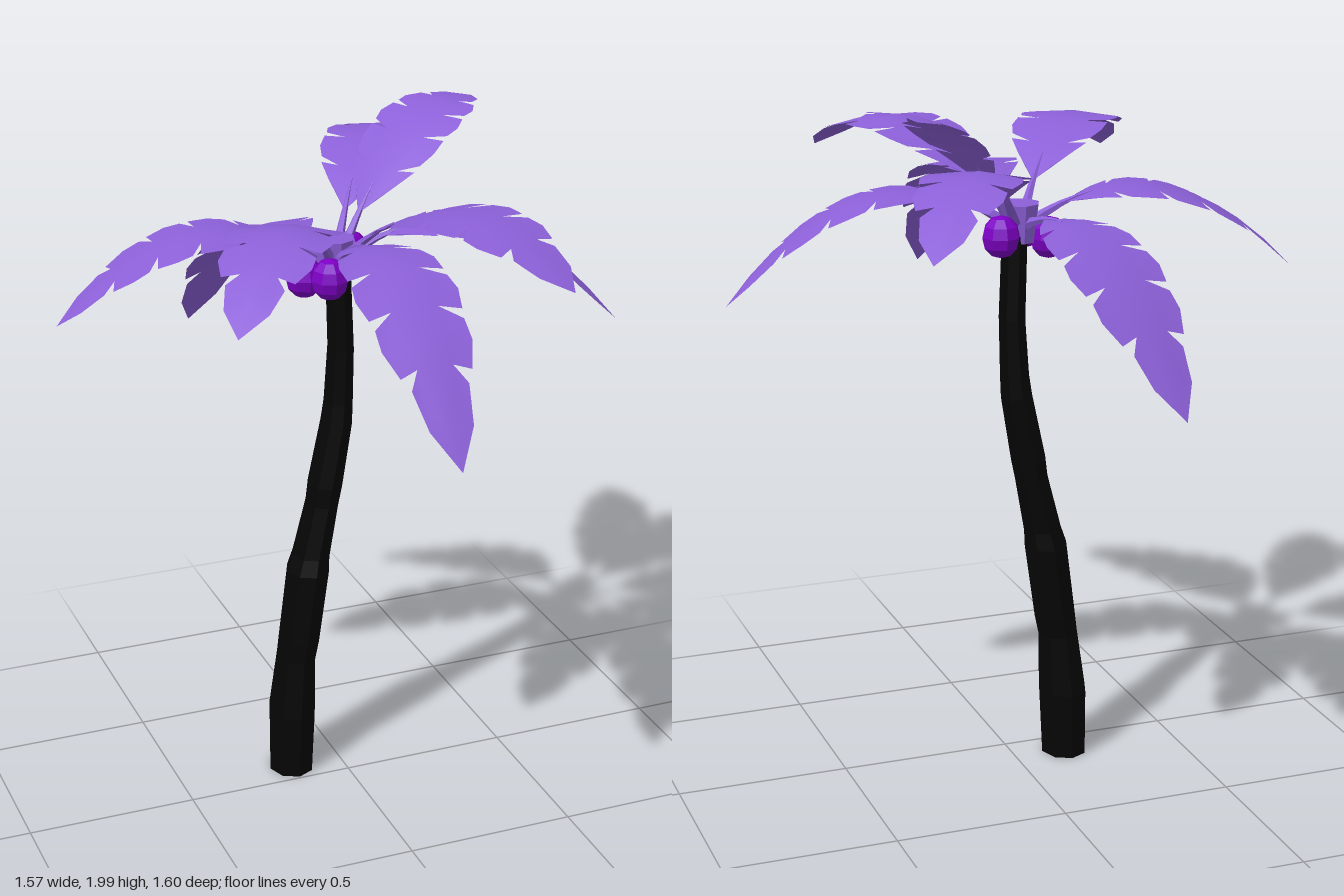
import * as THREE from 'three';
import { mergeVertices } from 'three/addons/utils/BufferGeometryUtils.js';

const leafMat = new THREE.MeshStandardMaterial({ color: 0x8c60d8, side: THREE.DoubleSide });
const stemMat = new THREE.MeshStandardMaterial({ color: 0x8c60d8, flatShading: true });
const barkMat = new THREE.MeshStandardMaterial({ color: 0x050505, flatShading: true });
const nutMat = new THREE.MeshStandardMaterial({ color: 0x7d00c4, flatShading: true });

const CROWN = new THREE.Vector3(-0.01, 1.62, -0.085);

function mesh(name, geometry, material, parent) {
  const m = new THREE.Mesh(geometry, material);
  m.name = name;
  parent.add(m);
  return m;
}

// Leaning eight-sided trunk with alternating swollen and pinched rings: [x, y, radius]
function trunkGeometry() {
  const rings = [
    [-0.155, 0, 0.078], [-0.15, 0.2, 0.084], [-0.135, 0.38, 0.070], [-0.125, 0.44, 0.073],
    [-0.095, 0.66, 0.075], [-0.085, 0.71, 0.066], [-0.05, 0.87, 0.058], [-0.04, 0.93, 0.061],
    [-0.004, 1.12, 0.055], [0.002, 1.18, 0.051], [0.01, 1.35, 0.046], [0.002, 1.6, 0.044],
  ];
  const geo = new THREE.CylinderGeometry(1, 1, 1, 8, rings.length - 1);
  const p = geo.attributes.position;
  for (let i = 0; i < p.count; i++) {
    const [x, y, r] = rings[Math.round((p.getY(i) + 0.5) * (rings.length - 1))];
    p.setXYZ(i, x + p.getX(i) * r * 0.86, y, CROWN.z + p.getZ(i) * r);
  }
  geo.computeVertexNormals();
  return geo;
}

// Blade stations along the frond: [position on the curve, half width]
const STATIONS = [[0.14, 0.02], [0.30, 0.118], [0.47, 0.143], [0.63, 0.138], [0.79, 0.105], [1, 0]];

// Blade of slit lobes on both sides of the midrib, folded slightly down along it
function bladeGeometry(curve, side, width) {
  const verts = [];
  const point = (t, w) => {
    const down = new THREE.Vector3().crossVectors(side, curve.getTangent(t));
    return curve.getPoint(t).addScaledVector(side, w * width).addScaledVector(down, Math.abs(w) * 0.08);
  };
  const quad = (a, b, c, d) => {
    for (const v of [a, b, c, a, c, d]) verts.push(v.x, v.y, v.z);
  };
  for (let i = 0; i < STATIONS.length - 1; i++) {
    const [t0, w0] = STATIONS[i];
    const [t1, w1] = STATIONS[i + 1];
    const mid = (t0 + t1) / 2;
    const wMid = (w0 + w1) / 2 + 0.012;
    for (const s of [1, -1]) {
      const rib = [t0, mid, t1].map((t) => point(t, 0));
      const inner = [point(t0, s * w0 * 0.5), point(mid, s * wMid * 0.5), point(t1, s * w1 * 0.5)];
      const outer = [
        point(t0 + 0.045, s * (w0 * 0.8 + w1 * 0.2)),
        point(mid + 0.025, s * wMid),
        point(Math.min(t1 + 0.015, 1), s * w1),
      ];
      for (let k = 0; k < 2; k++) {
        for (const [a, b] of [[rib, inner], [inner, outer]]) {
          if (s > 0) quad(a[k], b[k], b[k + 1], a[k + 1]);
          else quad(a[k], a[k + 1], b[k + 1], b[k]);
        }
      }
    }
  }
  const geo = new THREE.BufferGeometry();
  geo.setAttribute('position', new THREE.Float32BufferAttribute(verts, 3));
  const merged = mergeVertices(geo);
  merged.computeVertexNormals();
  return merged;
}

// One frond arching from the crown through a middle height to its tip
function frond(name, tip, midY, width = 1) {
  const end = new THREE.Vector3(...tip);
  const out = new THREE.Vector3(end.x - CROWN.x, 0, end.z - CROWN.z).normalize();
  const start = CROWN.clone().addScaledVector(out, 0.03);
  const ctrl = start.clone().add(end).multiplyScalar(0.5);
  ctrl.y = 2 * midY - ctrl.y;
  const curve = new THREE.QuadraticBezierCurve3(start, ctrl, end);
  const side = new THREE.Vector3(out.z, 0, -out.x);

  const group = new THREE.Group();
  group.name = name;
  mesh('blade', bladeGeometry(curve, side, width), leafMat, group);

  // Stalk: tube along the first part of the curve, thinning into the midrib
  const path = new THREE.CatmullRomCurve3([0, 0.08, 0.16, 0.24].map((t) => curve.getPoint(t)));
  const stalk = new THREE.TubeGeometry(path, 4, 0.018, 5);
  const p = stalk.attributes.position;
  for (let i = 0; i < p.count; i++) {
    const k = Math.floor(i / 6) / 4;
    const v = new THREE.Vector3().fromBufferAttribute(p, i).lerp(path.getPointAt(k), k * 0.9);
    p.setXYZ(i, v.x, v.y, v.z);
  }
  stalk.computeVertexNormals();
  mesh('stalk', stalk, stemMat, group);
  return group;
}

export function createModel() {
  const palm = new THREE.Group();
  palm.name = 'palmTree';

  mesh('trunk', trunkGeometry(), barkMat, palm);

  // Crown cup
  const crown = mesh('crown', new THREE.CylinderGeometry(0.06, 0.046, 0.11, 8), stemMat, palm);
  crown.position.set(CROWN.x, 1.625, CROWN.z);

  // Fronds: tip, middle height, width factor
  const fronds = [
    ['frontFrond', [0, 1.32, 0.80], 1.72, 0.97],
    ['frontLeftFrond', [0.355, 1.73, 0.70], 1.855],
    ['leftFrond', [0.785, 1.40, 0.12], 1.705, 0.95],
    ['backLeftRaisedFrond', [0.525, 1.97, -0.345], 1.935, 0.95],
    ['backLeftFrond', [0.48, 1.70, -0.80], 1.855, 0.9],
    ['backFrond', [-0.22, 1.22, -0.79], 1.61],
    ['rightFrond', [-0.785, 1.47, -0.23], 1.715],
    ['frontRightFrond', [-0.535, 1.69, 0.60], 1.85, 0.95],
  ];
  for (const f of fronds) palm.add(frond(...f));

  // Coconuts
  for (const [x, y, z] of [[0.07, 1.605, -0.16], [-0.1, 1.575, -0.085], [-0.055, 1.59, 0]]) {
    const nut = mesh('coconut', new THREE.SphereGeometry(0.055, 8, 6), nutMat, palm);
    nut.position.set(x, y, z);
    nut.scale.y = 1.1;
  }
  return palm;
}
